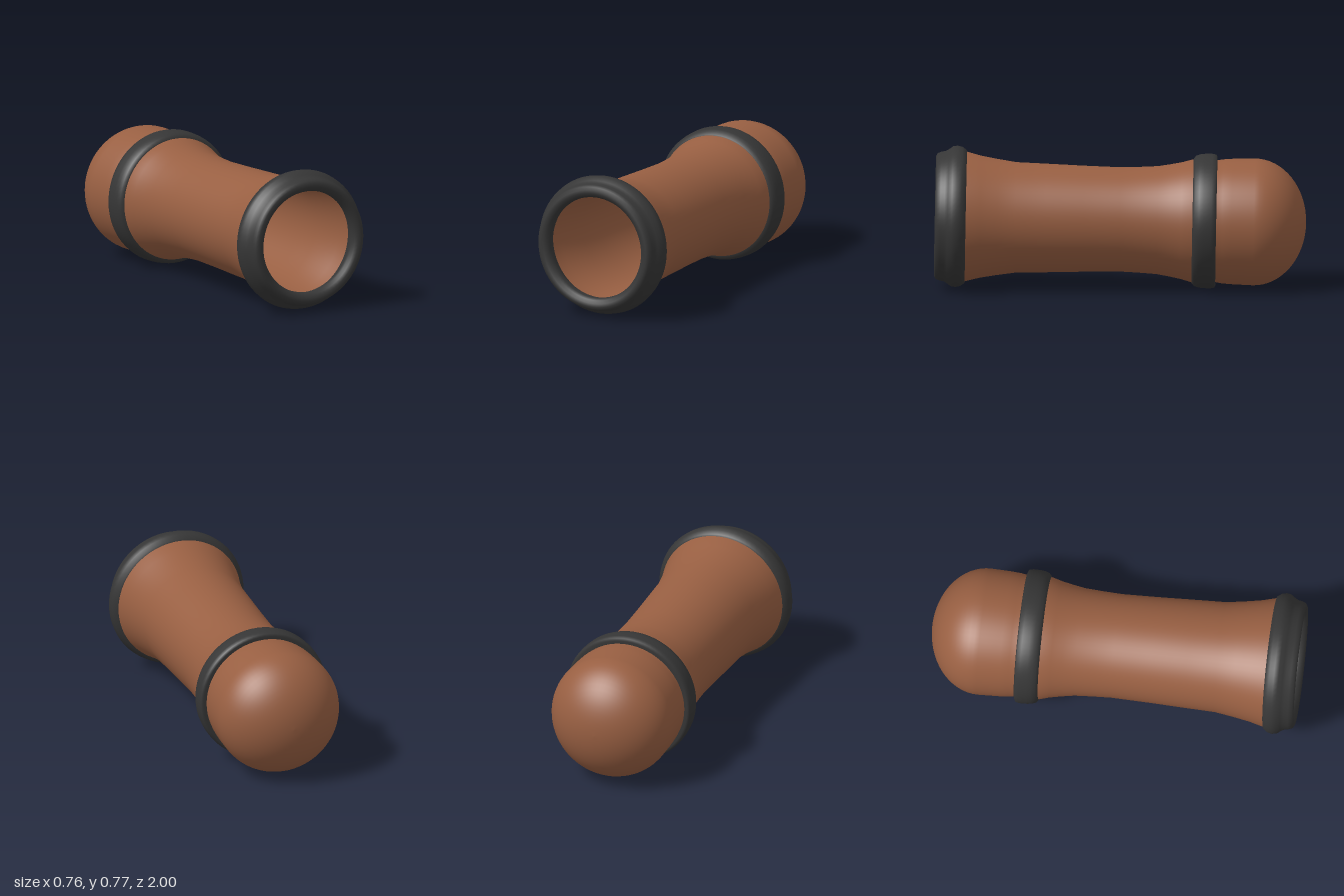
import * as THREE from 'three';

export function createModel() {
  const brown = new THREE.MeshStandardMaterial({ color: 0x985f42, side: THREE.DoubleSide });
  brown.name = 'brown';
  const black = new THREE.MeshStandardMaterial({ color: 0x363636 });
  black.name = 'black';

  const model = new THREE.Group();
  model.name = 'hollowTube';

  // Turned part: profile of [radius, distance along the axis], back to front outside
  const turn = (name, profile, material) => {
    const points = profile.map(([r, z]) => new THREE.Vector2(r, z));
    const mesh = new THREE.Mesh(new THREE.LatheGeometry(points, 72), material);
    mesh.name = name;
    model.add(mesh);
  };

  // Rounded closed end
  const dome = [];
  for (let i = 0; i <= 16; i++) {
    const a = (i / 16) * Math.PI / 2;
    dome.push([0.341 * Math.sin(a), -0.72 - 0.28 * Math.cos(a)]);
  }
  turn('domeEnd', [...dome, [0.337, -0.6], [0.333, -0.55], [0.326, -0.51], [0.33, -0.45]], brown);

  // Waisted open shell
  turn('waistedBody', [
    [0.33, -0.45], [0.331, -0.39], [0.314, -0.33], [0.302, -0.27], [0.29, -0.2], [0.284, -0.1],
    [0.28, 0], [0.285, 0.2], [0.292, 0.4], [0.297, 0.56], [0.312, 0.66], [0.328, 0.75],
    [0.349, 0.83], [0.35, 0.88],
  ], brown);

  // Raised band between body and dome
  turn('rearBand', [
    [0.32, -0.515], [0.345, -0.518], [0.357, -0.512], [0.362, -0.49], [0.361, -0.45],
    [0.358, -0.425], [0.35, -0.403], [0.335, -0.39], [0.322, -0.39],
  ], black);

  // Stepped lip around the opening
  turn('frontLip', [
    [0.34, 0.826], [0.358, 0.83], [0.374, 0.852], [0.38, 0.878], [0.376, 0.903],
    [0.36, 0.925], [0.35, 0.942], [0.346, 0.965], [0.338, 0.985], [0.322, 0.994],
    [0.304, 0.992], [0.287, 0.982], [0.278, 0.965], [0.277, 0.945], [0.284, 0.92],
    [0.305, 0.88], [0.34, 0.826],
  ], black);

  // Lay the axis along z, resting on the two bands
  model.rotation.x = Math.PI / 2 - 0.018;
  model.position.y = 0.374;

  const root = new THREE.Group();
  root.name = 'model';
  root.add(model);
  return root;
}
